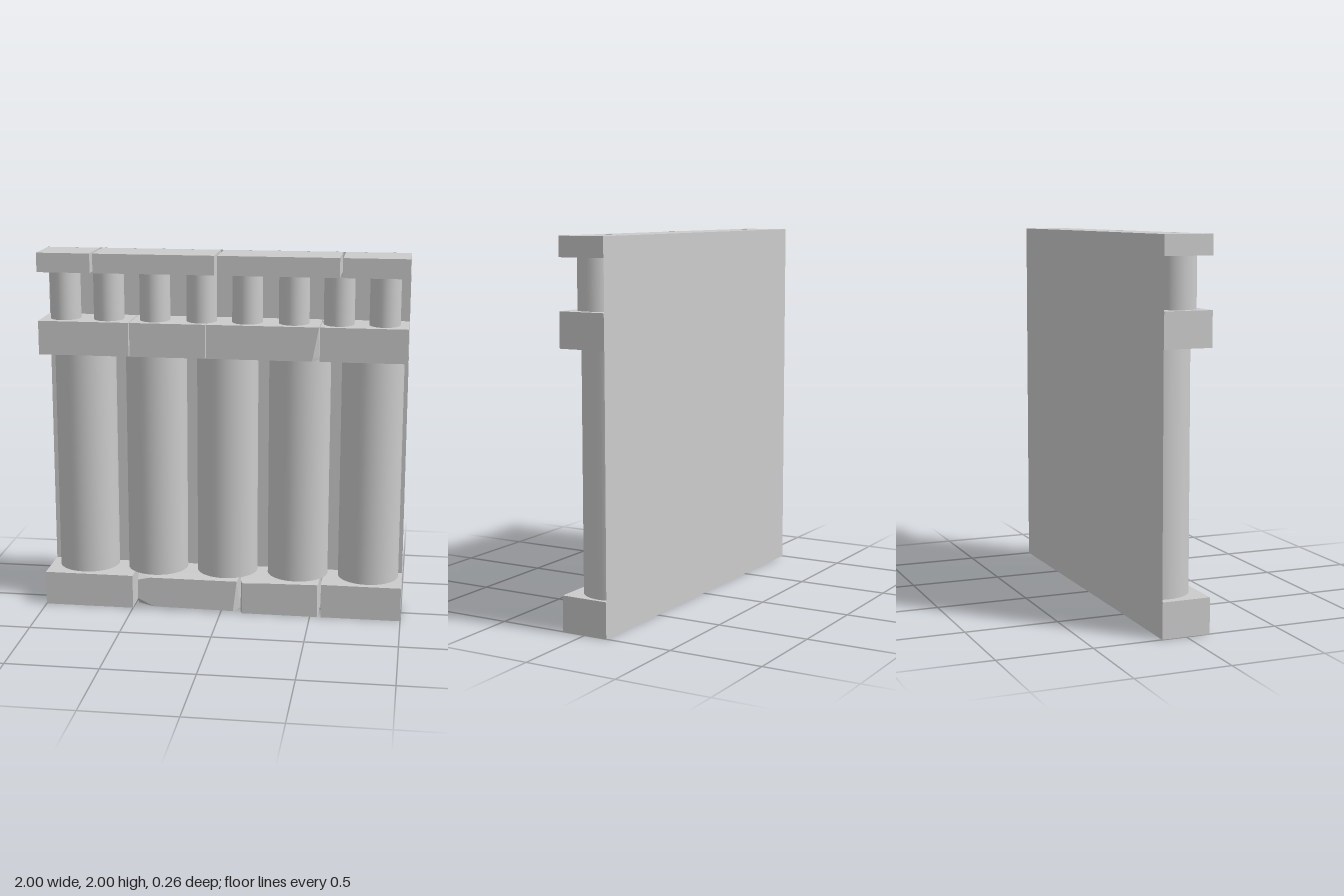
import * as THREE from 'three';
import { ConvexGeometry } from 'three/addons/geometries/ConvexGeometry.js';

const BACK = -0.13, FRONT = 0.13;

export function createModel() {
  const model = new THREE.Group();
  const flat = new THREE.MeshStandardMaterial({ color: 0xcccccc, flatShading: true });
  const smooth = new THREE.MeshStandardMaterial({ color: 0xcccccc, side: THREE.DoubleSide });
  const thin = new THREE.MeshStandardMaterial({ color: 0xcccccc, side: THREE.DoubleSide });

  const add = (name, geometry, material) => {
    const mesh = new THREE.Mesh(geometry, material);
    mesh.name = name;
    model.add(mesh);
    return mesh;
  };

  // Plain stone block between two x and two y values
  const block = (name, x0, x1, y0, y1) => {
    const g = new THREE.BoxGeometry(x1 - x0, y1 - y0, FRONT - BACK);
    add(name, g, flat).position.set((x0 + x1) / 2, (y0 + y1) / 2, 0);
  };

  // Chipped stone block: full outline at the back, worn outlines further forward
  const chipped = (name, sections) => {
    const points = sections.flatMap(([z, outline]) =>
      outline.map(([x, y]) => new THREE.Vector3(x, y, z)));
    add(name, new ConvexGeometry(points), flat);
  };
  const rect = (x0, x1, y0, y1) => [[x0, y0], [x1, y0], [x1, y1], [x0, y1]];

  // Back wall, a thin sheet
  add('backWall', new THREE.PlaneGeometry(2, 2), thin).position.set(0, 1, BACK - 0.002);

  // Base course
  block('baseBlock', -1, -0.5, 0, 0.19);
  block('baseBlock', 0.56, 1, 0, 0.19);
  chipped('chippedBaseBlock', [
    [BACK, rect(-0.48, 0.1, 0, 0.19)],
    [0.04, rect(-0.48, 0.1, 0, 0.19)],
    [FRONT, [[-0.47, 0.06], [-0.38, 0.015], [0.07, 0.01],
      [0.09, 0.185], [-0.4, 0.185], [-0.47, 0.17]]],
  ]);
  chipped('chippedBaseBlock', [
    [BACK, rect(0.11, 0.545, 0, 0.19)],
    [0.1, rect(0.11, 0.545, 0, 0.19)],
    [FRONT, [[0.12, 0], [0.54, 0], [0.54, 0.187], [0.28, 0.183], [0.12, 0.178]]],
  ]);

  // Middle course
  block('middleBlock', -1, -0.503, 1.445, 1.63);
  block('middleBlock', -0.497, -0.083, 1.445, 1.63);
  block('middleBlock', 0.533, 1, 1.445, 1.63);
  chipped('chippedMiddleBlock', [
    [BACK, rect(-0.077, 0.527, 1.445, 1.63)],
    [0.06, rect(-0.077, 0.527, 1.445, 1.63)],
    [FRONT, [[-0.077, 1.445], [0.49, 1.445], [0.497, 1.47], [0.527, 1.63], [-0.077, 1.63]]],
  ]);

  // Top rail
  const cuts = [-1.008, -0.7, -0.025, 0.64, 1.008];
  for (let i = 0; i < 4; i++) {
    block('railBlock', cuts[i] + 0.008, cuts[i + 1] - 0.008, 1.895, 2);
  }

  // Large columns, cut off where they meet the back wall
  const radius = 0.169, columnZ = -0.075;
  const half = Math.PI / 2 + Math.asin((columnZ - BACK) / radius);
  for (const x of [-0.787, -0.387, 0.012, 0.412, 0.81]) {
    const g = new THREE.CylinderGeometry(radius, radius, 1.255, 32, 1, true, -half, 2 * half);
    add('column', g, smooth).position.set(x, 0.8175, columnZ);
  }

  // Small balusters under the rail
  for (const x of [-0.875, -0.633, -0.378, -0.12, 0.13, 0.383, 0.625, 0.87]) {
    const baluster = add('baluster',
      new THREE.CylinderGeometry(0.083, 0.083, 0.265, 28, 1, true), smooth);
    baluster.scale.z = 0.095 / 0.083;
    baluster.position.set(x, 1.7625, 0);
  }

  return model;
}
